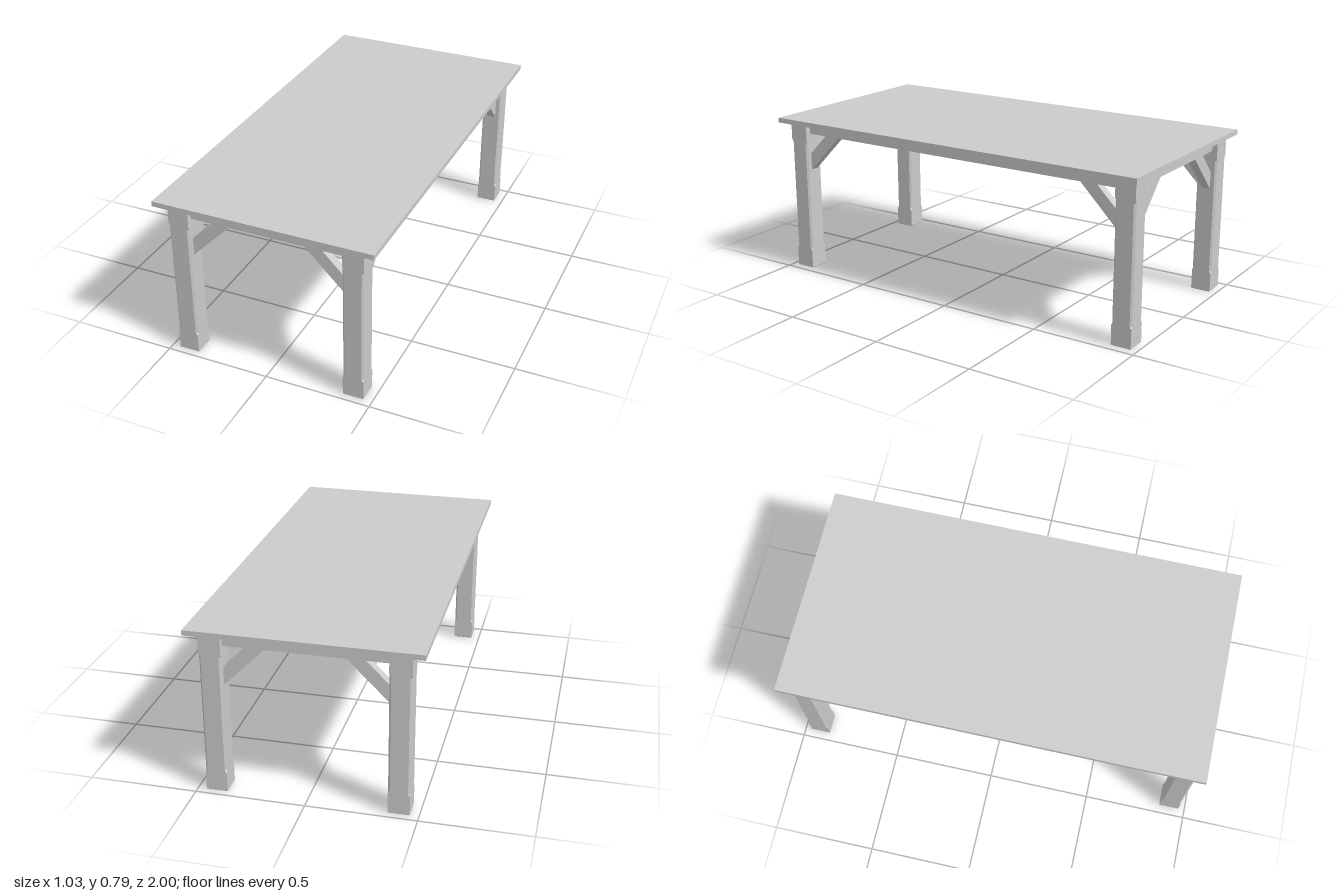
import * as THREE from 'three';

const mat = new THREE.MeshStandardMaterial({ color: 0xcccccc, flatShading: true });
const LEG_X = 0.411, LEG_Z = 0.92, HALF = 0.049, UNDER = 0.762, RAIL_Y = 0.705;

function add(parent, name, geometry, x = 0, y = 0, z = 0) {
  const mesh = new THREE.Mesh(geometry, mat);
  mesh.name = name;
  mesh.position.set(x, y, z);
  parent.add(mesh);
  return mesh;
}

// Square post lofted from octagons: [height, half width, corner chamfer]
function legGeometry() {
  const e = 0.0003, c = 0.009;
  const sections = [
    [0, HALF - 0.003, e], [0.003, HALF, e], [0.095, HALF, e], [0.104, HALF, c],
    [0.66, HALF, c], [0.669, HALF, e], [UNDER, HALF, e],
  ];
  const pos = [], index = [];
  for (const [y, h, k] of sections) {
    const m = h - k;
    for (const [x, z] of [[h, m], [m, h], [-m, h], [-h, m], [-h, -m], [-m, -h], [m, -h], [h, -m]]) pos.push(x, y, z);
  }
  const last = (sections.length - 1) * 8;
  for (let i = 0; i < 8; i++) {
    const j = (i + 1) % 8;
    for (let s = 0; s < last; s += 8) {
      index.push(s + i, s + 8 + i, s + j, s + j, s + 8 + i, s + 8 + j);
    }
    // End caps as fans
    if (i > 0 && i < 7) index.push(0, i, j, last, last + j, last + i);
  }
  const g = new THREE.BufferGeometry();
  g.setAttribute('position', new THREE.Float32BufferAttribute(pos, 3));
  g.setIndex(index);
  const flat = g.toNonIndexed();
  flat.computeVertexNormals();
  return flat;
}

// Diagonal brace, running from the leg face (x = 0) to the rail underside (y = 0)
function braceGeometry() {
  const t = 0.042;
  const shape = new THREE.Shape([[0, -0.185], [0.185, 0], [0.102, 0], [0, -0.102]].map(p => new THREE.Vector2(...p)));
  return new THREE.ExtrudeGeometry(shape, { depth: t, bevelEnabled: false }).translate(0, 0, -t / 2);
}

export function createModel() {
  const table = new THREE.Group();
  table.name = 'table';

  // Top
  add(table, 'tableTop', new THREE.BoxGeometry(1.034, 0.024, 2), 0, UNDER + 0.012, 0);

  // Rails between the legs
  const railH = UNDER - RAIL_Y, railT = 0.045, railMid = (UNDER + RAIL_Y) / 2;
  for (const s of [-1, 1]) {
    add(table, 'endRail', new THREE.BoxGeometry(2 * (LEG_X - HALF), railH, railT), 0, railMid, s * LEG_Z);
    add(table, 'sideRail', new THREE.BoxGeometry(railT, railH, 2 * (LEG_Z - HALF)), s * LEG_X, railMid, 0);
  }

  // Legs, each with two braces
  const leg = legGeometry(), brace = braceGeometry();
  for (const sx of [-1, 1]) for (const sz of [-1, 1]) {
    const corner = new THREE.Group();
    corner.name = (sz > 0 ? 'front' : 'back') + (sx > 0 ? 'Left' : 'Right') + 'Corner';
    add(corner, 'leg', leg, sx * LEG_X, 0, sz * LEG_Z);
    add(corner, 'endBrace', brace, sx * (LEG_X - HALF), RAIL_Y, sz * LEG_Z).rotation.y = sx > 0 ? Math.PI : 0;
    add(corner, 'sideBrace', brace, sx * LEG_X, RAIL_Y, sz * (LEG_Z - HALF)).rotation.y = sz * Math.PI / 2;
    table.add(corner);
  }
  return table;
}
